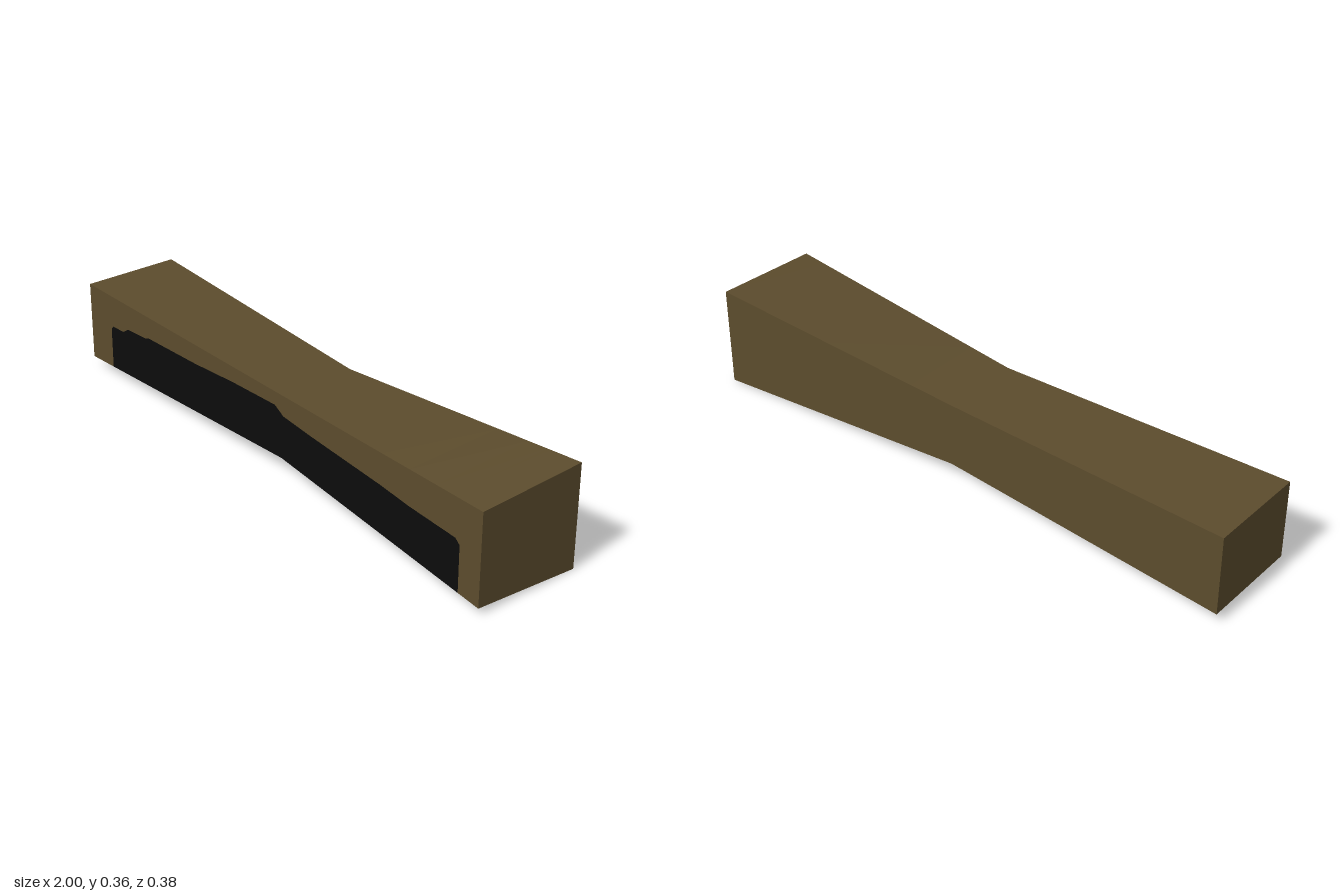
import * as THREE from 'three';

// Cross-sections along the beam: x, front z, back z, then front and back bottom/top heights
const SECTIONS = [
  { x: -1, zf: 0.17, zb: -0.175, fb: 0.04, ft: 0.32, bb: 0.04, bt: 0.322 },
  { x: 0.04, zf: 0.137, zb: -0.143, fb: 0.067, ft: 0.292, bb: 0.067, bt: 0.294 },
  { x: 1, zf: 0.19, zb: -0.192, fb: 0.023, ft: 0.337, bb: 0.001, bt: 0.357 },
];

// Upper edge of the black area on the front (x, y)
const FRONT_EDGE = [
  [-0.881, 0], [-0.88, 0.19], [-0.87, 0.202], [-0.81, 0.203], [-0.78, 0.222], [-0.68, 0.225],
  [-0.66, 0.232], [-0.4, 0.234], [-0.2, 0.243], [0.01, 0.245], [0.05, 0.221], [0.2, 0.215],
  [0.55, 0.208], [0.68, 0.201], [0.89, 0.2], [0.909, 0.185], [0.91, 0],
];

// Rear edge of the black area on the underside (x, z)
const BOTTOM_EDGE = [
  [-0.881, 1], [-0.88, 0.0], [-0.85, -0.057], [-0.82, -0.105], [-0.77, -0.13], [0.03, -0.11],
  [0.55, -0.1], [0.8, -0.076], [0.87, -0.05], [0.885, 0.056], [0.909, 0.15], [0.91, 1],
];

// Linear interpolation along a list of [x, value], clamped at the ends
function sample(points, x) {
  if (x <= points[0][0]) return points[0][1];
  for (let i = 1; i < points.length; i++) {
    const [x0, v0] = points[i - 1];
    const [x1, v1] = points[i];
    if (x <= x1) return v0 + ((v1 - v0) * (x - x0)) / (x1 - x0);
  }
  return points[points.length - 1][1];
}

// Corner and paint-edge points of the beam at one x
function slice(x) {
  const at = (key) => sample(SECTIONS.map((s) => [s.x, s[key]]), x);
  const zf = at('zf'), zb = at('zb'), fb = at('fb'), bb = at('bb');
  const y = Math.max(fb, sample(FRONT_EDGE, x));
  const z = Math.min(zf, sample(BOTTOM_EDGE, x));
  const p = (py, pz) => [x, py, pz];
  return {
    frontTop: p(at('ft'), zf), frontPaint: p(y, zf), frontBottom: p(fb, zf),
    bottomPaint: p(fb + ((bb - fb) * (zf - z)) / (zf - zb), z),
    backBottom: p(bb, zb), backTop: p(at('bt'), zb),
  };
}

// Unshared triangles keep every face flat
function faceMesh(name, quads, material) {
  const positions = quads.flatMap(([a, b, c, d]) => [a, b, c, a, c, d]).flat();
  const geometry = new THREE.BufferGeometry();
  geometry.setAttribute('position', new THREE.Float32BufferAttribute(positions, 3));
  geometry.computeVertexNormals();
  const mesh = new THREE.Mesh(geometry, material);
  mesh.name = name;
  return mesh;
}

export function createModel() {
  const brown = new THREE.MeshStandardMaterial({ color: 0x5c4c2d });
  brown.name = 'brown';
  const black = new THREE.MeshStandardMaterial({ color: 0x0c0c0c });
  black.name = 'black';

  const xs = [...SECTIONS.map((s) => s.x), ...FRONT_EDGE.map((e) => e[0]), ...BOTTOM_EDGE.map((e) => e[0])];
  const slices = [...new Set(xs)].sort((a, b) => a - b).map(slice);

  // Skin the sides lengthwise between two rails
  const strip = (upper, lower) => slices.slice(1).map((s, i) =>
    [slices[i][lower], s[lower], s[upper], slices[i][upper]]);

  // Closed ends
  const l = slices[0], r = slices[slices.length - 1];
  const ends = [
    [l.backBottom, l.frontBottom, l.frontTop, l.backTop],
    [r.frontBottom, r.backBottom, r.backTop, r.frontTop],
  ];

  const group = new THREE.Group();
  group.name = 'taperedBeam';
  group.add(
    faceMesh('frontFace', strip('frontTop', 'frontPaint'), brown),
    faceMesh('frontBlackArea', strip('frontPaint', 'frontBottom'), black),
    faceMesh('bottomBlackArea', strip('frontBottom', 'bottomPaint'), black),
    faceMesh('bottomFace', strip('bottomPaint', 'backBottom'), brown),
    faceMesh('backFace', strip('backBottom', 'backTop'), brown),
    faceMesh('topFace', strip('backTop', 'frontTop'), brown),
    faceMesh('endFaces', ends, brown),
  );
  return group;
}
